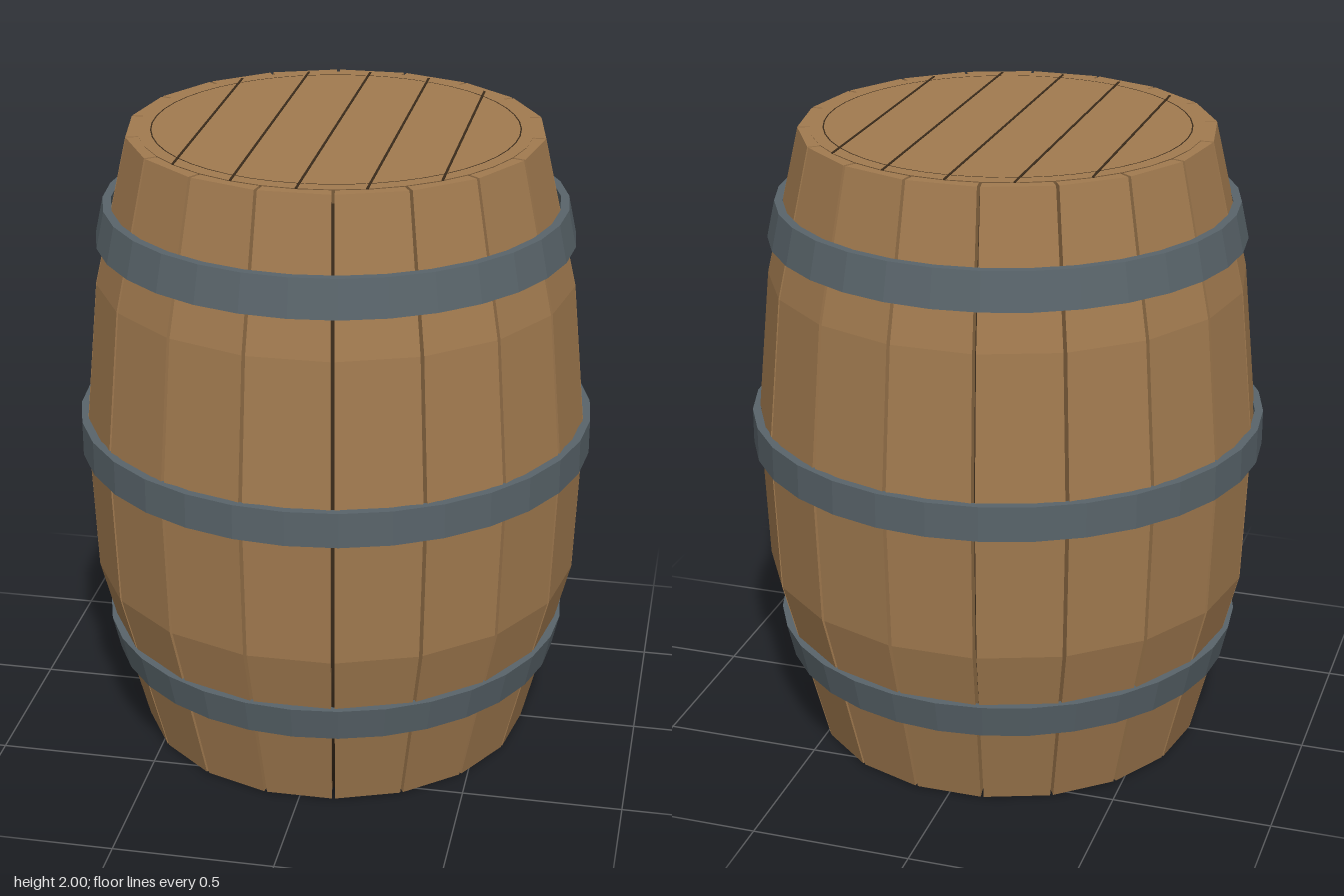
import * as THREE from 'three';

const STAVES = 18;
// barrel profile: [height, corner radius]
const PROFILE = [[0.006, 0.625], [0.575, 0.77], [1.05, 0.789], [1.535, 0.743], [1.995, 0.637]];

const material = (name, color) => {
  const m = new THREE.MeshStandardMaterial({ color });
  m.name = name;
  return m;
};

// give every face its own flat normal
function faceted(geometry) {
  const g = geometry.toNonIndexed();
  g.computeVertexNormals();
  return g;
}

// one stave: a box bent onto a wedge of the barrel profile
function staveGeometry() {
  const g = new THREE.BoxGeometry(2, 4, 2, 1, 4, 1);
  const p = g.attributes.position;
  const half = Math.PI / STAVES - 0.0075;
  for (let i = 0; i < p.count; i++) {
    const [y, outer] = PROFILE[Math.round(p.getY(i)) + 2];
    const r = p.getZ(i) > 0 ? outer : outer - 0.06;
    const a = p.getX(i) * half;
    p.setXYZ(i, r * Math.sin(a), y, r * Math.cos(a));
  }
  return faceted(g);
}

// closed band with separate bottom and top radii
function hoopGeometry(y0, y1, r0, r1) {
  const t = 0.026;
  const section = [[r0, y0], [r1, y1], [r1 - t, y1], [r0 - t, y0], [r0, y0]];
  return faceted(new THREE.LatheGeometry(section.map(([r, y]) => new THREE.Vector2(r, y)), 32));
}

export function createModel() {
  const barrel = new THREE.Group();
  barrel.name = 'barrel';
  const wood = material('oak wood', 0xa17a4f);
  const dark = material('dark gap', 0x3a2b1b);
  const iron = material('hoop iron', 0x59646a);

  const add = (name, geometry, mat, parent = barrel) => {
    const mesh = new THREE.Mesh(geometry, mat);
    mesh.name = name;
    parent.add(mesh);
    return mesh;
  };

  // staves
  const staves = new THREE.Group();
  staves.name = 'staves';
  barrel.add(staves);
  const stave = staveGeometry();
  for (let i = 0; i < STAVES; i++) {
    add('stave', stave, wood, staves).rotation.y = (i * 2 * Math.PI) / STAVES;
  }

  // dark core seen through the gaps and from below
  const core = PROFILE.map(([y, r]) => new THREE.Vector2((r - 0.06) * 0.98, y));
  core[0].y = 0;
  core[4].y = 1.98;
  add('core', new THREE.LatheGeometry([new THREE.Vector2(0, 0), ...core], 36), dark);

  // lid with plank seams and a fine scribed circle
  const lid = add('lid', new THREE.CylinderGeometry(0.6, 0.575, 0.05, 36), wood);
  lid.position.y = 1.973;
  for (const x of [-0.393, -0.197, 0, 0.197, 0.393]) {
    const length = 2 * Math.sqrt(0.6 * 0.6 - x * x);
    const seam = add('lidSeam', new THREE.BoxGeometry(0.007, 0.004, length), dark);
    seam.position.set(x, 1.998, 0);
  }
  const circle = add('lidCircle', new THREE.RingGeometry(0.557, 0.561, 48), dark);
  circle.rotation.x = -Math.PI / 2;
  circle.position.y = 1.9995;

  // iron hoops
  add('lowerHoop', hoopGeometry(0.28, 0.39, 0.715, 0.74), iron);
  add('middleHoop', hoopGeometry(0.98, 1.09, 0.808, 0.808), iron);
  add('upperHoop', hoopGeometry(1.66, 1.775, 0.74, 0.715), iron);

  return barrel;
}
